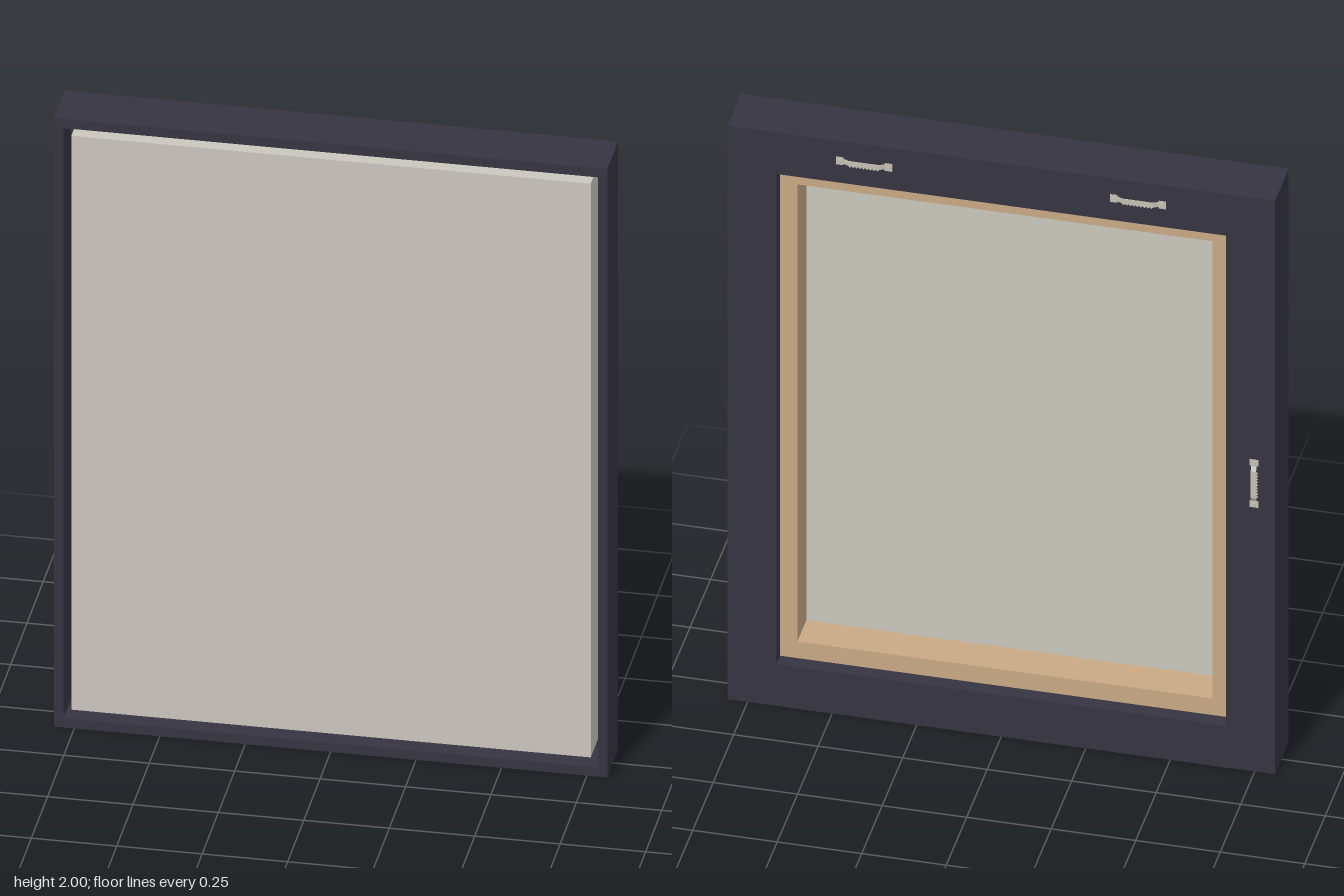
import * as THREE from 'three';

const mat = (name, color) => {
  const m = new THREE.MeshStandardMaterial({ color });
  m.name = name;
  return m;
};

export function createModel() {
  const root = new THREE.Group();
  root.name = 'framedCanvas';
  const darkFrame = mat('dark frame', 0x363441);
  const canvasGrey = mat('canvas grey', 0xcac6bd);
  const wood = mat('pale wood', 0xc8a985);
  const metal = mat('metal', 0xc4c0b4);

  const CY = 1, BACK = -0.079, FRONT = 0.088, LEDGE = -0.034, FACE = 0.08;

  const add = (name, geometry, material, parent = root) => {
    const m = new THREE.Mesh(geometry, material);
    m.name = name;
    parent.add(m);
    return m;
  };
  const rect = (path, w, h) => {
    path.moveTo(-w, -h);
    path.lineTo(w, -h);
    path.lineTo(w, h);
    path.lineTo(-w, h);
    path.closePath();
    return path;
  };
  // rectangular ring from z0 to z1, given outer and inner half sizes
  const ring = (name, [ow, oh], [iw, ih], z0, z1, material) => {
    const s = rect(new THREE.Shape(), ow, oh);
    s.holes.push(rect(new THREE.Path(), iw, ih));
    const g = new THREE.ExtrudeGeometry(s, { depth: z1 - z0, bevelEnabled: false });
    g.translate(0, CY, z0);
    return add(name, g, material);
  };

  // floating frame: L-shaped section made of a thin rim and a wide back ledge
  ring('frameRim', [0.81, 1], [0.782, 0.97], LEDGE, FRONT, darkFrame);
  ring('frameBackLedge', [0.81, 1], [0.665, 0.855], BACK, LEDGE, darkFrame);

  // stretcher bars, wrapped by the canvas edge and closed by the canvas face
  ring('stretcherBars', [0.756, 0.939], [0.614, 0.797], LEDGE, FACE - 0.003, wood);
  ring('canvasEdge', [0.76, 0.943], [0.756, 0.939], LEDGE, FACE - 0.003, canvasGrey);
  add('canvasFace', new THREE.BoxGeometry(1.52, 1.886, 0.004), canvasGrey)
    .position.set(0, CY, FACE - 0.001);

  // sawtooth hanger: bent strap with two screwed feet and a toothed edge
  const hanger = (name, x, y, turn) => {
    const g = new THREE.Group();
    g.name = name;
    const t = 0.002, rise = 0.007;
    const side = [[-0.083, 0], [-0.06, 0], [-0.046, rise], [0.046, rise], [0.06, 0], [0.083, 0]];
    const outline = [
      ...side.map(([px, pz]) => new THREE.Vector2(px, pz)),
      ...side.slice().reverse().map(([px, pz]) => new THREE.Vector2(px, pz + t)),
    ];
    const strap = new THREE.ExtrudeGeometry(new THREE.Shape(outline), { depth: 0.016, bevelEnabled: false });
    strap.rotateX(Math.PI / 2);
    strap.translate(0, 0.008, 0);
    add('strap', strap, metal, g);

    const teeth = new THREE.Shape();
    const n = 9, w = 0.092 / n;
    teeth.moveTo(-0.046, -0.008);
    for (let i = 0; i < n; i++) {
      teeth.lineTo(-0.046 + (i + 0.5) * w, -0.014);
      teeth.lineTo(-0.046 + (i + 1) * w, -0.008);
    }
    teeth.closePath();
    const tg = new THREE.ExtrudeGeometry(teeth, { depth: t, bevelEnabled: false });
    tg.translate(0, 0, rise);
    add('teeth', tg, metal, g);

    for (const s of [-1, 1]) {
      add('foot', new THREE.BoxGeometry(0.022, 0.026, t), metal, g).position.set(s * 0.072, 0, t / 2);
      const screw = add('screwHead', new THREE.CylinderGeometry(0.005, 0.006, 0.002, 12), metal, g);
      screw.rotation.x = Math.PI / 2;
      screw.position.set(s * 0.072, 0, t + 0.001);
    }
    g.rotation.set(0, Math.PI, turn);
    g.position.set(x, y, BACK);
    root.add(g);
  };
  hanger('topHangerLeft', 0.405, 1.932, 0);
  hanger('topHangerRight', -0.405, 1.932, 0);
  hanger('sideHanger', -0.748, 1.005, Math.PI / 2);

  return root;
}
